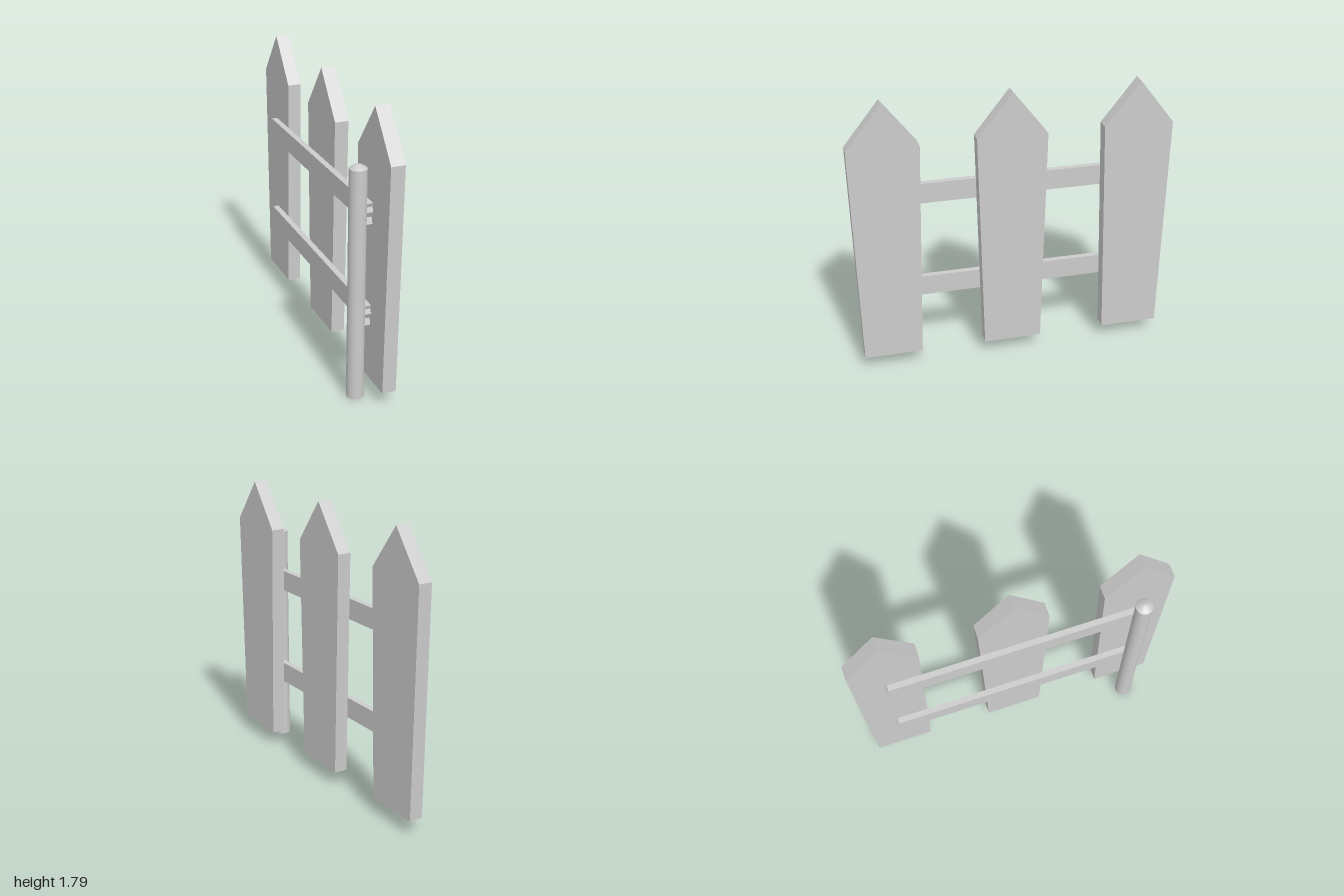
import * as THREE from 'three';

const material = new THREE.MeshStandardMaterial({ color: 0xcccccc });
const flat = new THREE.MeshStandardMaterial({ color: 0xcccccc, flatShading: true });

// Extrude a [z, y] outline along x, from x0 to x1
function slab(name, outline, x0, x1) {
  const shape = new THREE.Shape(outline.map(([z, y]) => new THREE.Vector2(-z, y)));
  const geometry = new THREE.ExtrudeGeometry(shape, { depth: x1 - x0, bevelEnabled: false });
  geometry.rotateY(Math.PI / 2).translate(x0, 0, 0);
  const mesh = new THREE.Mesh(geometry, flat);
  mesh.name = name;
  return mesh;
}

export function createModel() {
  const fence = new THREE.Group();
  fence.name = 'picketFence';

  // Three pickets, wider at the shoulders, with pointed tops
  [0.782, 0.008, -0.779].forEach((z, i) => {
    const outline = [[0.183, 0.092], [0.217, 1.515], [0, 1.79], [-0.217, 1.508], [-0.183, 0.092]];
    fence.add(slab('picket' + (i + 1), outline.map(([dz, y]) => [z + dz, y]), 0.027, 0.113));
  });

  // Two rails with jagged, broken ends
  const frontEnd = [[0.785, 0.13], [0.775, 0.105], [0.785, 0.075], [0.765, 0.04], [0.778, 0]];
  const backEnd = [[-0.775, 0], [-0.79, 0.04], [-0.765, 0.075], [-0.8, 0.105], [-0.785, 0.13]];
  [['lowerRail', 0.453], ['upperRail', 1.095]].forEach(([name, y]) => {
    fence.add(slab(name, [...frontEnd, ...backEnd].map(([z, dy]) => [z, y + dy]), -0.011, 0.027));
  });

  // Round post with a separate shallow domed cap
  const post = new THREE.Group();
  post.name = 'post';
  const shaft = new THREE.Mesh(new THREE.CylinderGeometry(0.052, 0.052, 1.445, 32), material);
  shaft.name = 'postShaft';
  shaft.position.y = 0.7225;
  const dome = [[0.052, 0], [0.038, 0.011], [0.02, 0.021], [0, 0.026]];
  const cap = new THREE.Mesh(
    new THREE.LatheGeometry(dome.map(([r, y]) => new THREE.Vector2(r, y)), 32), material);
  cap.name = 'postCap';
  cap.position.y = 1.445;
  post.add(shaft, cap);
  post.position.set(-0.067, 0, 0.782);
  fence.add(post);

  return fence;
}
